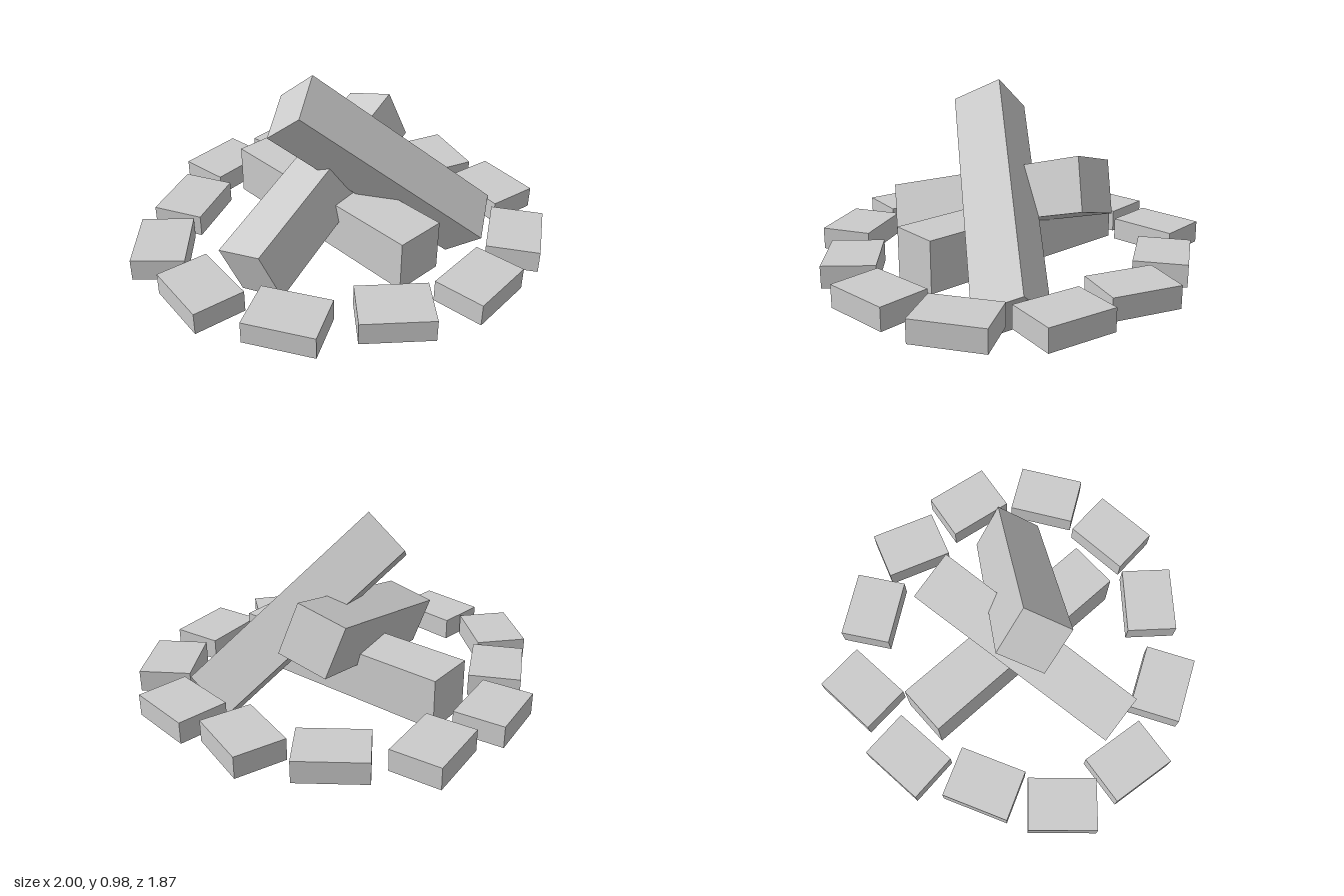
import * as THREE from 'three';

const material = new THREE.MeshStandardMaterial({ color: 0xcccccc, flatShading: true });

// Ring stones: x, z, turn about y in degrees
const STONES = [
  [-0.337, -0.66, 27], [0.067, -0.759, 26.1], [0.449, -0.572, -33.7], [0.716, -0.272, -88.3],
  [0.841, 0.1, -78], [0.726, 0.505, 53.7], [0.393, 0.737, 25.8], [-0.032, 0.759, -19.2],
  [-0.465, 0.633, -39.6], [-0.751, 0.314, -76], [-0.825, -0.06, 68], [-0.597, -0.369, 47],
];

// Square logs: centre, direction along the log, direction of one side face
const LOGS = [
  { name: 'flatLog', centre: [0.007, 0.263, 0.005], along: [0.346, 0, 0.938], up: [0, 1, 0] },
  { name: 'steepLog', centre: [0.208, 0.495, 0.133], along: [0.845, -0.72, 0.21], up: [0.095, 0.155, 0.165] },
  { name: 'leaningLog', centre: [-0.083, 0.41, 0.044], along: [-0.9, -0.315, 0.61], up: [-0.09, 0.23, -0.022] },
];

export function createModel() {
  const model = new THREE.Group();
  model.name = 'campfire';

  // Circle of flat stones
  const ring = new THREE.Group();
  ring.name = 'stoneRing';
  const stoneGeometry = new THREE.BoxGeometry(0.328, 0.106, 0.246);
  STONES.forEach(([x, z, turn], i) => {
    const stone = new THREE.Mesh(stoneGeometry, material);
    stone.name = `stone${i + 1}`;
    stone.position.set(x, 0.193, z);
    stone.rotation.y = THREE.MathUtils.degToRad(turn);
    ring.add(stone);
  });
  model.add(ring);

  // Three crossed logs in the middle
  const logGeometry = new THREE.BoxGeometry(0.246, 0.246, 1.13);
  for (const { name, centre, along, up } of LOGS) {
    const log = new THREE.Mesh(logGeometry, material);
    log.name = name;
    log.position.set(...centre);
    log.up.set(...up);
    log.lookAt(new THREE.Vector3(...along).add(log.position));
    model.add(log);
  }
  return model;
}
